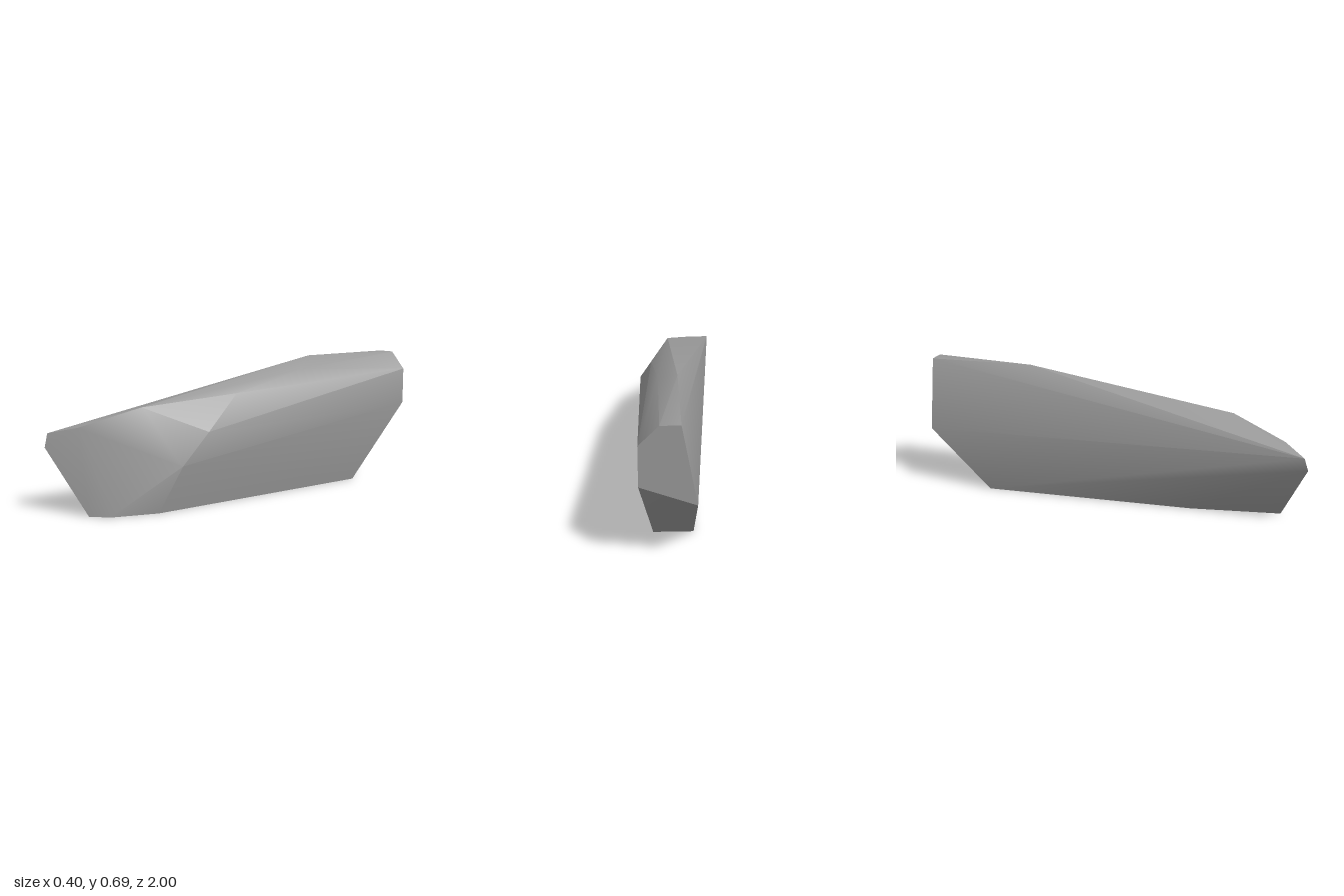
import * as THREE from 'three';
import { toCreasedNormals } from 'three/addons/utils/BufferGeometryUtils.js';
import { ConvexGeometry } from 'three/addons/geometries/ConvexGeometry.js';

export function createModel() {
  const stoneGrey = new THREE.MeshStandardMaterial({ color: 0x999999 });
  stoneGrey.name = 'stoneGrey';

  // Corners of the long faceted rock
  const backEnd = [[-0.05, 0.32, -1], [0.02, 0.69, -1], [0.11, 0.69, -1], [0.2, 0.6, -1], [0.2, 0.41, -1]];
  const base = [
    [-0.047, 0, -0.68], [-0.05, 0, 0.42], [-0.005, 0, 0.875],
    [0.07, 0, 0.8], [0.14, 0, 0.58], [0.14, 0, -0.68],
  ];
  const tip = [[-0.203, 0.38, 0.98], [-0.193, 0.315, 1]];
  const ridge = [[-0.08, 0.413, 0.88], [0.045, 0.5, 0.61], [0.02, 0.69, -0.45]];
  const shoulder = [[0.2, 0.225, 0.48], [0.2, 0.375, 0.33], [0.14, 0.54, 0.12], [0.11, 0.63, -0.33]];

  const corners = [...backEnd, ...base, ...tip, ...ridge, ...shoulder]
    .map((p) => new THREE.Vector3(...p));

  // Gentle facets blend together, strong edges stay sharp
  const geometry = toCreasedNormals(new ConvexGeometry(corners), THREE.MathUtils.degToRad(32));
  const rock = new THREE.Mesh(geometry, stoneGrey);
  rock.name = 'rock';

  const group = new THREE.Group();
  group.name = 'longRock';
  group.add(rock);
  return group;
}
